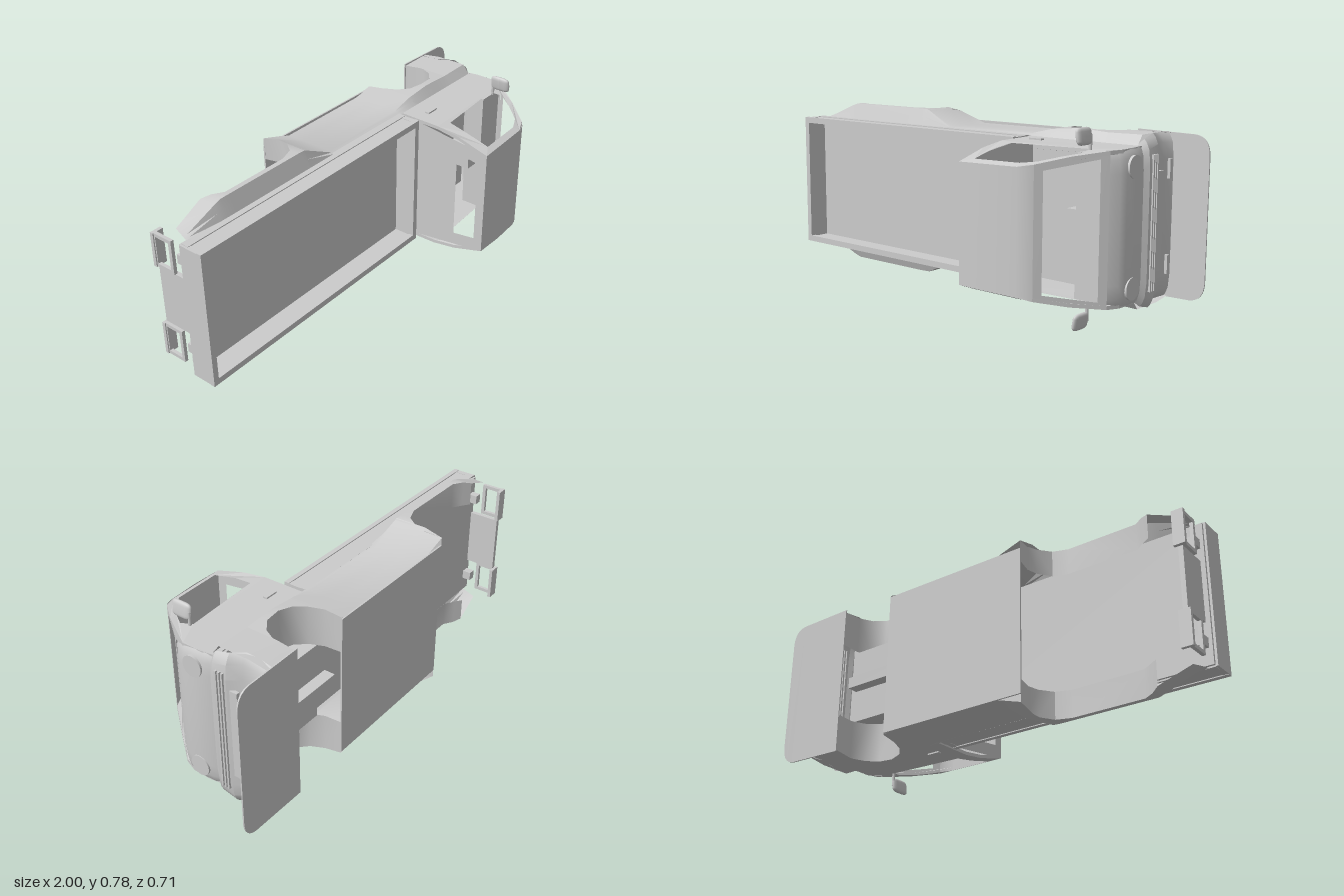
import * as THREE from 'three';
import { toCreasedNormals } from 'three/addons/utils/BufferGeometryUtils.js';

const solid = new THREE.MeshStandardMaterial({ color: 0xcccccc });
const thin = new THREE.MeshStandardMaterial({ color: 0xcccccc, side: THREE.DoubleSide });

// The truck lies on its side: nose to +x, roof to +z, width along y (centred on 0 here).
export function createModel() {
  const model = new THREE.Group();
  const truck = new THREE.Group();
  truck.name = 'truck';
  truck.position.y = 0.39;
  model.add(truck);

  const add = (name, geo, mat = solid) => {
    const m = new THREE.Mesh(geo, mat);
    m.name = name;
    truck.add(m);
    return m;
  };
  // box from min and max corners
  const box = (name, x0, x1, y0, y1, z0, z1) => {
    const m = add(name, new THREE.BoxGeometry(x1 - x0, y1 - y0, z1 - z0));
    m.position.set((x0 + x1) / 2, (y0 + y1) / 2, (z0 + z1) / 2);
    return m;
  };
  // open surface from rows of [x, y, z] points
  const sheet = (name, rows) => {
    const n = rows[0].length, idx = [];
    for (let r = 0; r < rows.length - 1; r++)
      for (let c = 0; c < n - 1; c++) {
        const a = r * n + c, b = a + n;
        idx.push(a, a + 1, b, b, a + 1, b + 1);
      }
    const g = new THREE.BufferGeometry();
    g.setAttribute('position', new THREE.Float32BufferAttribute(rows.flat(2), 3));
    g.setIndex(idx);
    return add(name, toCreasedNormals(g, 0.6), thin);
  };
  // four-sided ring between an outer and an inner outline
  const frame = (name, outer, inner) =>
    sheet(name, [[...outer, outer[0]], [...inner, inner[0]]]);
  // side profile in x and z, as a plate reaching inward from y = 0
  const sideShape = (pts, holes, depth) => {
    const v = (list) => list.map(([x, z]) => new THREE.Vector2(x, z));
    const s = new THREE.Shape(v(pts));
    holes.forEach((h) => s.holes.push(new THREE.Path(v(h))));
    return new THREE.ExtrudeGeometry(s, { depth, bevelEnabled: false }).rotateX(Math.PI / 2);
  };
  const lerpAt = (table, x) => {
    if (x <= table[0][0]) return table[0][1];
    for (let i = 1; i < table.length; i++) {
      const [x1, v1] = table[i], [x0, v0] = table[i - 1];
      if (x <= x1) return v0 + (v1 - v0) * (x - x0) / (x1 - x0);
    }
    return table[table.length - 1][1];
  };
  // half width of the cab at each height
  const cabHalf = (z) => lerpAt([[0.0, 0.305], [0.09, 0.302], [0.2, 0.285], [0.31, 0.258], [0.345, 0.243]], z);

  // cargo bed
  box('bedFloor', -0.99, 0.31, -0.3, 0.3, -0.12, -0.1);
  box('bedTailgate', -1, -0.975, -0.305, 0.305, -0.11, 0);
  box('bedHeadboard', 0.275, 0.3, -0.305, 0.305, -0.11, 0);
  for (const s of [-1, 1]) {
    const y = (a, b) => (s > 0 ? [a, b] : [-b, -a]);
    box('bedSide', -1, 0.3, ...y(0.285, 0.303), -0.11, 0);
    box('bedTopRail', -1, 0.3, ...y(0.28, 0.307), -0.022, 0);
    box('bedLowerRail', -0.99, 0.3, ...y(0.3, 0.307), -0.11, -0.075);
  }

  // cab sides with window openings
  const cabOutline = [[0.315, -0.12], [0.315, 0.09], [0.315, 0.2], [0.315, 0.345], [0.59, 0.335], [0.65, 0.31],
    [0.74, 0.2], [0.83, 0.085], [0.85, 0.03], [0.85, -0.06], [0.84, -0.12]];
  const windowHole = [[0.38, 0.11], [0.37, 0.2], [0.367, 0.315], [0.58, 0.308], [0.64, 0.28], [0.7, 0.21],
    [0.75, 0.14], [0.735, 0.085], [0.6, 0.095]];
  for (const s of [-1, 1]) {
    const g = sideShape(cabOutline, [windowHole], 0.015);
    const p = g.attributes.position;
    for (let i = 0; i < p.count; i++) p.setY(i, p.getY(i) + cabHalf(p.getZ(i)));
    // turned about x, the plate would flip upside down, so mirror by rewinding
    if (s < 0) {
      for (let i = 0; i < p.count; i++) p.setY(i, -p.getY(i));
      for (let i = 0; i < p.count; i += 3) {
        const a = new THREE.Vector3().fromBufferAttribute(p, i + 1);
        const b = new THREE.Vector3().fromBufferAttribute(p, i + 2);
        p.setXYZ(i + 1, b.x, b.y, b.z);
        p.setXYZ(i + 2, a.x, a.y, a.z);
      }
    }
    g.computeVertexNormals();
    add('cabSide', g);
  }

  // panels that cross the cab, with edges swept back at the corners
  const columns = [-1, -0.96, -0.88, -0.7, 0, 0.7, 0.88, 0.96, 1];
  const cross = (name, pts, half, sweep) =>
    sheet(name, pts.map(([x, z]) => columns.map((u) => [x - sweep * Math.abs(u) ** 12, u * half(z, x), z])));
  cross('roof', [[0.315, 0.345], [0.45, 0.348], [0.59, 0.338], [0.63, 0.325], [0.65, 0.31]], cabHalf, 0);
  cross('nose', [[0.83, 0.085], [0.855, 0.05], [0.865, 0.02], [0.869, -0.03], [0.866, -0.08], [0.855, -0.11]], cabHalf, 0.02);
  const rect = (x0, x1, h0, h1, z0, z1) => [[x0, -h0, z0], [x0, h0, z0], [x1, h1, z1], [x1, -h1, z1]];
  frame('windshieldFrame', rect(0.83, 0.65, 0.302, 0.258, 0.085, 0.31), rect(0.808, 0.672, 0.272, 0.235, 0.113, 0.283));
  frame('cabRearWall', rect(0.315, 0.315, 0.305, 0.243, -0.12, 0.345), rect(0.315, 0.315, 0.205, 0.19, 0.195, 0.303));
  box('cabFloor', 0.32, 0.83, -0.3, 0.3, -0.13, -0.11);
  box('dashboard', 0.68, 0.81, -0.285, 0.285, 0.0, 0.085);
  box('dashboardHump', 0.62, 0.7, -0.06, 0.06, -0.04, 0.06);

  // lower front panel, grille slots and headlights
  const lowerHalf = (z) => lerpAt([[-0.25, 0.35], [-0.14, 0.345], [-0.1, 0.305]], z);
  cross('lowerFront', [[0.855, -0.1], [0.872, -0.125], [0.87, -0.19], [0.835, -0.24], [0.828, -0.3], [0.84, -0.355]],
    (z) => (z < -0.25 ? 0.34 : lowerHalf(z)), 0.03);
  for (let i = 0; i < 3; i++) box('grilleBar', 0.86, 0.878, -0.27, 0.27, -0.18 + i * 0.015, -0.172 + i * 0.015);
  box('licensePanel', 0.85, 0.866, -0.2, 0.2, -0.235, -0.2);
  for (const s of [-1, 1]) {
    const lamp = add('headlight', new THREE.CylinderGeometry(0.045, 0.045, 0.02, 32));
    lamp.rotation.z = Math.PI / 2;
    lamp.position.set(0.862, s * 0.235, -0.027);
    box('indicator', 0.825, 0.845, s * 0.195 - 0.04, s * 0.195 + 0.04, -0.335, -0.32);
  }

  // flat bumper tray with rounded front corners
  const tray = new THREE.Shape();
  tray.moveTo(0.67, -0.34);
  tray.lineTo(0.93, -0.335);
  tray.quadraticCurveTo(0.997, -0.33, 0.998, -0.25);
  tray.lineTo(0.998, 0.25);
  tray.quadraticCurveTo(0.997, 0.33, 0.93, 0.335);
  tray.lineTo(0.67, 0.34);
  const trayMesh = add('bumperTray', new THREE.ExtrudeGeometry(tray, { depth: 0.006, bevelEnabled: false }));
  trayMesh.position.z = -0.358;

  // lower body sides: flared over the wheels, with a bottom edge that follows the arches
  const frontArch = [[0.4, -0.355], [0.405, -0.28], [0.43, -0.22], [0.47, -0.175], [0.53, -0.157], [0.6, -0.162],
    [0.65, -0.2], [0.68, -0.26], [0.675, -0.355]];
  const rearArch = [[-0.8, -0.203], [-0.765, -0.18], [-0.72, -0.152], [-0.4, -0.152], [-0.335, -0.175],
    [-0.295, -0.23], [-0.283, -0.28], [-0.3, -0.355]];
  const bottom = [[-0.96, -0.12], [-0.94, -0.19], ...rearArch, [-0.15, -0.355], [0.3, -0.355], ...frontArch, [0.83, -0.355]];
  const flare = [[-0.96, 0], [-0.77, 0.073], [-0.3, 0.073], [-0.15, 0.005], [0.29, 0.005], [0.38, 0.03], [0.54, 0.045],
    [0.68, 0.037], [0.83, 0.04]];
  const skirtY = (x, z) => 0.305 + lerpAt(flare, x) * Math.min(1, Math.max(0, (-0.1 - z) / 0.03)) * (z < -0.3 ? 0.7 : 1);
  const levels = [-0.1, -0.115, -0.13, -0.2, -0.27];
  for (const s of [-1, 1]) {
    const rows = bottom.map(([x, zb]) =>
      [...levels.map((z) => Math.max(z, zb)), zb].map((z) => [x, s * skirtY(x, z), z]));
    sheet('lowerBodySide', rows);
    // wheel arch liners
    for (const [name, arch, inner] of [['frontArchLiner', frontArch, 0.17], ['rearArchLiner', rearArch, 0.26]])
      sheet(name, arch.map(([x, z]) => [[x, s * skirtY(x, z), z], [x, s * inner, z]]));
    // door handle and lower trim
    box('doorHandle', 0.38, 0.44, s * 0.306 - 0.004, s * 0.306 + 0.004, -0.025, -0.005);
    // mirrors
    const arm = add('mirrorArm', new THREE.CylinderGeometry(0.007, 0.007, 0.07, 10));
    arm.position.set(0.745, s * 0.325, 0.092);
    const mirror = add('mirror', new THREE.SphereGeometry(1, 20, 12));
    const p = mirror.geometry.attributes.position;
    // squared-off pad
    for (let i = 0; i < p.count; i++) {
      const q = (v, k) => Math.sign(v) * Math.abs(v) ** 0.5 * k;
      p.setXYZ(i, p.getX(i) * 0.012, q(p.getY(i), 0.034), q(p.getZ(i), 0.047));
    }
    mirror.geometry.computeVertexNormals();
    mirror.position.set(0.742, s * 0.354, 0.131);
    mirror.rotation.z = s * 0.15;
  }

  // underside
  const belly = box('bellyPlate', -0.3, 0.4, -0.32, 0.32, -0.357, -0.35);
  belly.castShadow = false;
  box('engineBlock', 0.42, 0.68, -0.17, 0.17, -0.25, -0.13);
  box('driveBeam', 0.37, 0.68, -0.025, 0.025, -0.3, -0.25);

  // rear bumper plate with open lamp frames
  box('rearPlate', -0.975, -0.955, -0.13, 0.13, -0.27, -0.13);
  for (const s of [-1, 1]) {
    const hoop = new THREE.Shape([[-0.05, -0.075], [0.05, -0.075], [0.05, 0.075], [-0.05, 0.075]].map((q) => new THREE.Vector2(...q)));
    hoop.holes.push(new THREE.Path([[-0.035, -0.06], [0.035, -0.06], [0.035, 0.06], [-0.035, 0.06]].map((q) => new THREE.Vector2(...q))));
    const lampFrame = add('rearLampFrame', new THREE.ExtrudeGeometry(hoop, { depth: 0.015, bevelEnabled: false }).rotateY(Math.PI / 2));
    lampFrame.position.set(-0.985, s * 0.21, -0.225);
    box('rearLampBracket', -0.975, -0.94, s * 0.21 - 0.02, s * 0.21 + 0.02, -0.16, -0.12);
    box('rearBumperBar', -0.99, -0.94, s * 0.21 - 0.075, s * 0.21 + 0.075, -0.28, -0.265);
  }
  return model;
}
